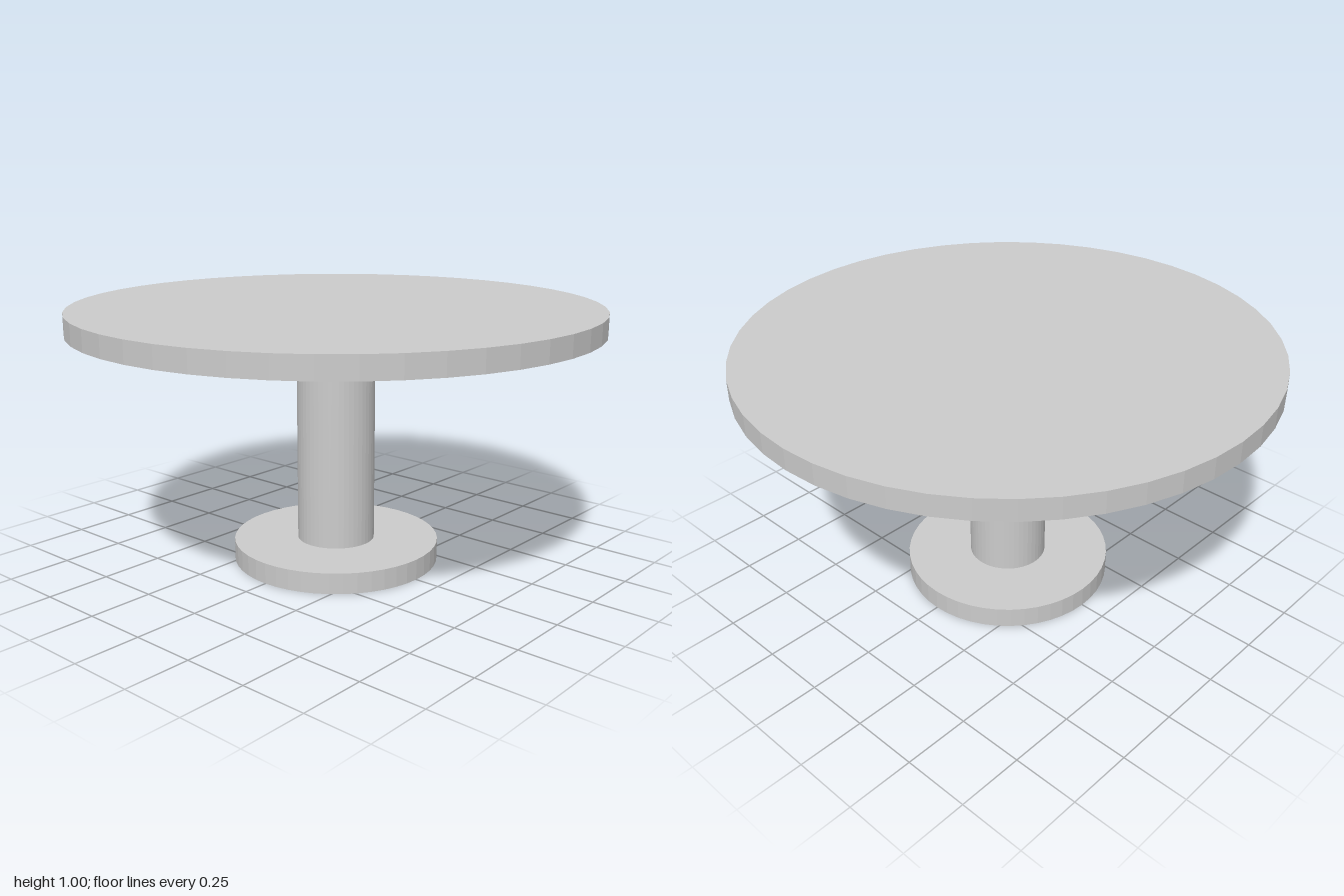
import * as THREE from 'three';

const SIDES = 48;

export function createModel() {
  const table = new THREE.Group();
  table.name = 'pedestalTable';
  const material = new THREE.MeshStandardMaterial({ color: 0xcccccc, flatShading: true });

  // Upright disc or post spanning the heights bottom to top
  const addRound = (name, radius, bottom, top) => {
    const mesh = new THREE.Mesh(
      new THREE.CylinderGeometry(radius, radius, top - bottom, SIDES), material);
    mesh.name = name;
    mesh.position.y = (bottom + top) / 2;
    table.add(mesh);
  };

  addRound('base', 0.4, 0, 0.08);
  addRound('column', 0.15, 0.08, 0.92);
  addRound('tabletop', 1, 0.92, 1);

  return table;
}
